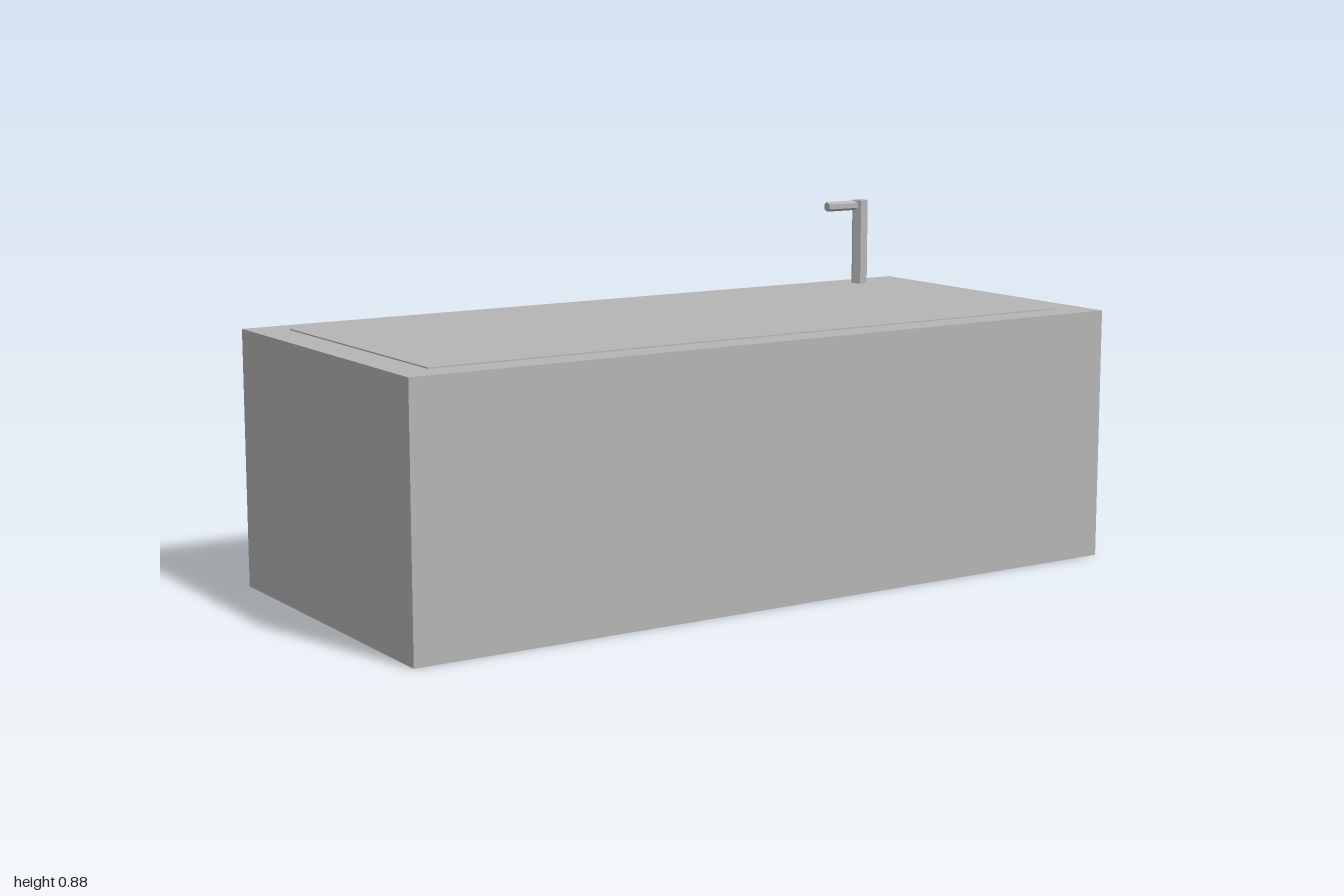
import * as THREE from 'three';

const grey = new THREE.MeshStandardMaterial({ color: 0xb5b5b5 });
grey.name = 'grey';

function addPart(group, name, geometry, x, y, z) {
  const mesh = new THREE.Mesh(geometry, grey);
  mesh.name = name;
  mesh.position.set(x, y, z);
  group.add(mesh);
  return mesh;
}

// Six-sided bar with flat facets and corners pointing along local x
function hexBar(radius, length) {
  const geometry = new THREE.CylinderGeometry(radius, radius, length, 6, 1, false, Math.PI / 2).toNonIndexed();
  geometry.computeVertexNormals();
  return geometry;
}

export function createModel() {
  const model = new THREE.Group();
  model.name = 'bathtub';

  const width = 2, height = 0.648, depth = 0.896;
  const panelHeight = 0.003;

  // Solid tub and the barely raised surface set in from its rim
  addPart(model, 'tubBody', new THREE.BoxGeometry(width, height, depth), 0, height / 2, 0);
  addPart(model, 'waterSurface', new THREE.BoxGeometry(1.82, panelHeight, 0.73), 0, height + panelHeight / 2, 0);

  // Tap: upright post with a spout pointing towards -x
  const tap = new THREE.Group();
  tap.name = 'tap';
  tap.position.set(0.82, height, -0.353);
  const postHeight = 0.236, spoutRadius = 0.0135, spoutLength = 0.115;
  addPart(tap, 'tapPost', hexBar(0.023, postHeight), 0, postHeight / 2, 0);
  const spout = addPart(tap, 'tapSpout', hexBar(spoutRadius, spoutLength),
    -spoutLength / 2, postHeight - spoutRadius - 0.0005, 0);
  spout.rotation.z = Math.PI / 2;
  model.add(tap);

  return model;
}
